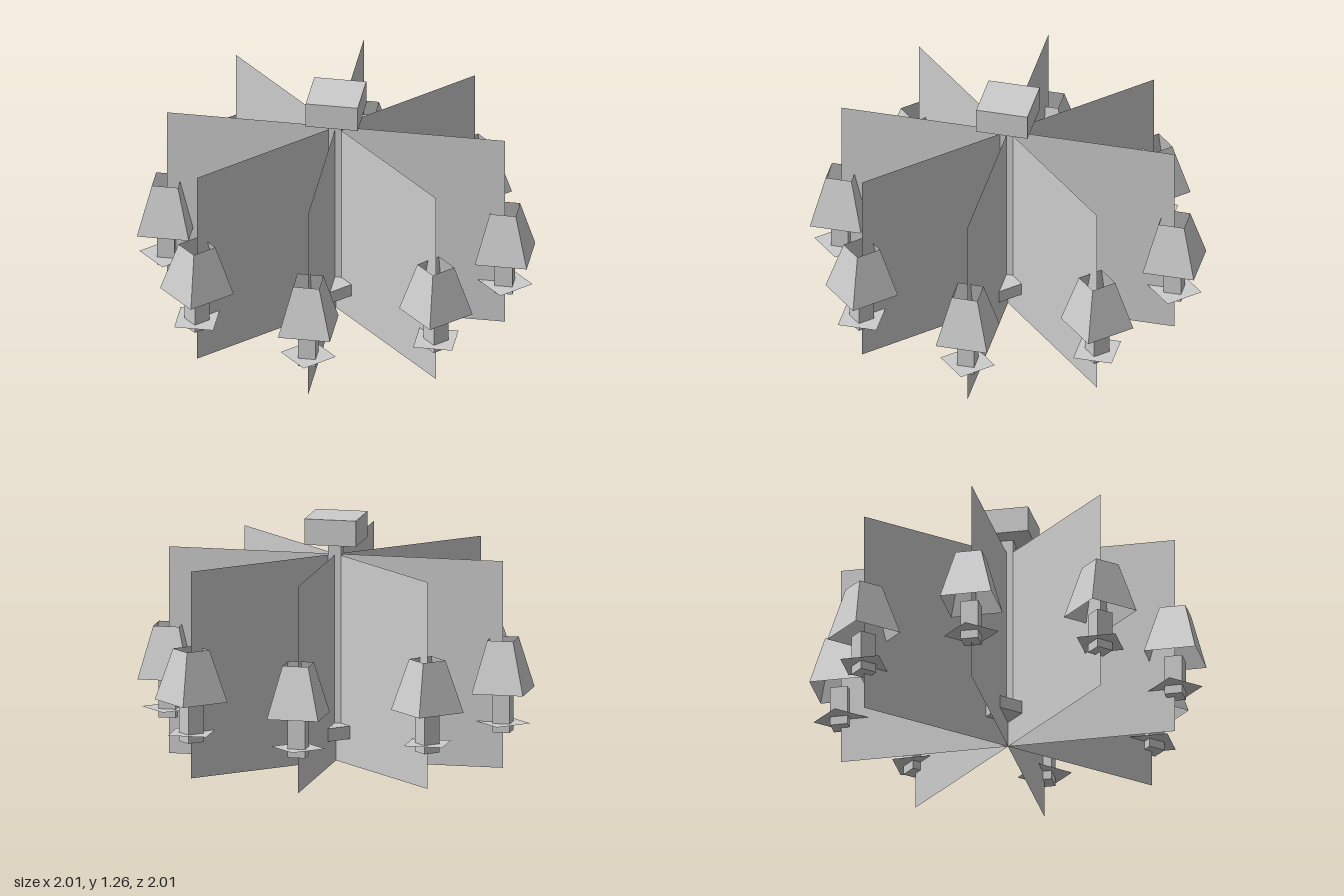
import * as THREE from 'three';

const U = 0.0665; // modelling unit
const RADIUS = 13 * U;

export function createModel() {
  const grey = new THREE.MeshStandardMaterial({ color: 0xcccccc, side: THREE.DoubleSide });
  grey.name = 'pale grey';
  const model = new THREE.Group();
  model.name = 'chandelier';

  function add(parent, name, geometry, x, y, z) {
    const mesh = new THREE.Mesh(geometry, grey);
    mesh.name = name;
    mesh.position.set(x, y, z);
    parent.add(mesh);
    return mesh;
  }

  // box given by its width and its bottom and top heights
  function block(parent, name, width, bottom, top, x = 0) {
    return add(parent, name, new THREE.BoxGeometry(width, top - bottom, width), x, (bottom + top) / 2, 0);
  }

  // central column
  block(model, 'ceilingCap', 4 * U, 17 * U, 19 * U);
  block(model, 'stem', U, 3 * U, 17 * U);
  block(model, 'lowerHub', 4 * U, 2 * U, 3 * U).rotation.y = Math.PI / 4;

  // open, four-sided tapered shade
  const shade = new THREE.CylinderGeometry(U * Math.SQRT2, 2 * U * Math.SQRT2, 4 * U, 4, 1, true)
    .rotateY(Math.PI / 4).toNonIndexed();
  shade.computeVertexNormals();
  const panel = new THREE.PlaneGeometry(RADIUS, 16 * U);
  const dish = new THREE.PlaneGeometry(3 * U, 3 * U).rotateX(-Math.PI / 2).rotateY(Math.PI / 4);

  // eight radial arms, each carrying a lamp at its end
  for (let i = 0; i < 8; i++) {
    const arm = new THREE.Group();
    arm.name = 'arm' + (i + 1);
    arm.rotation.y = i * Math.PI / 4;
    add(arm, 'armPanel', panel, RADIUS / 2, 8 * U, 0);
    add(arm, 'lampShade', shade, RADIUS, 8 * U, 0);
    add(arm, 'dripDish', dish, RADIUS, 0.235, 0);
    block(arm, 'candle', 0.09, 0.19, 6 * U, RADIUS);
    model.add(arm);
  }
  return model;
}
